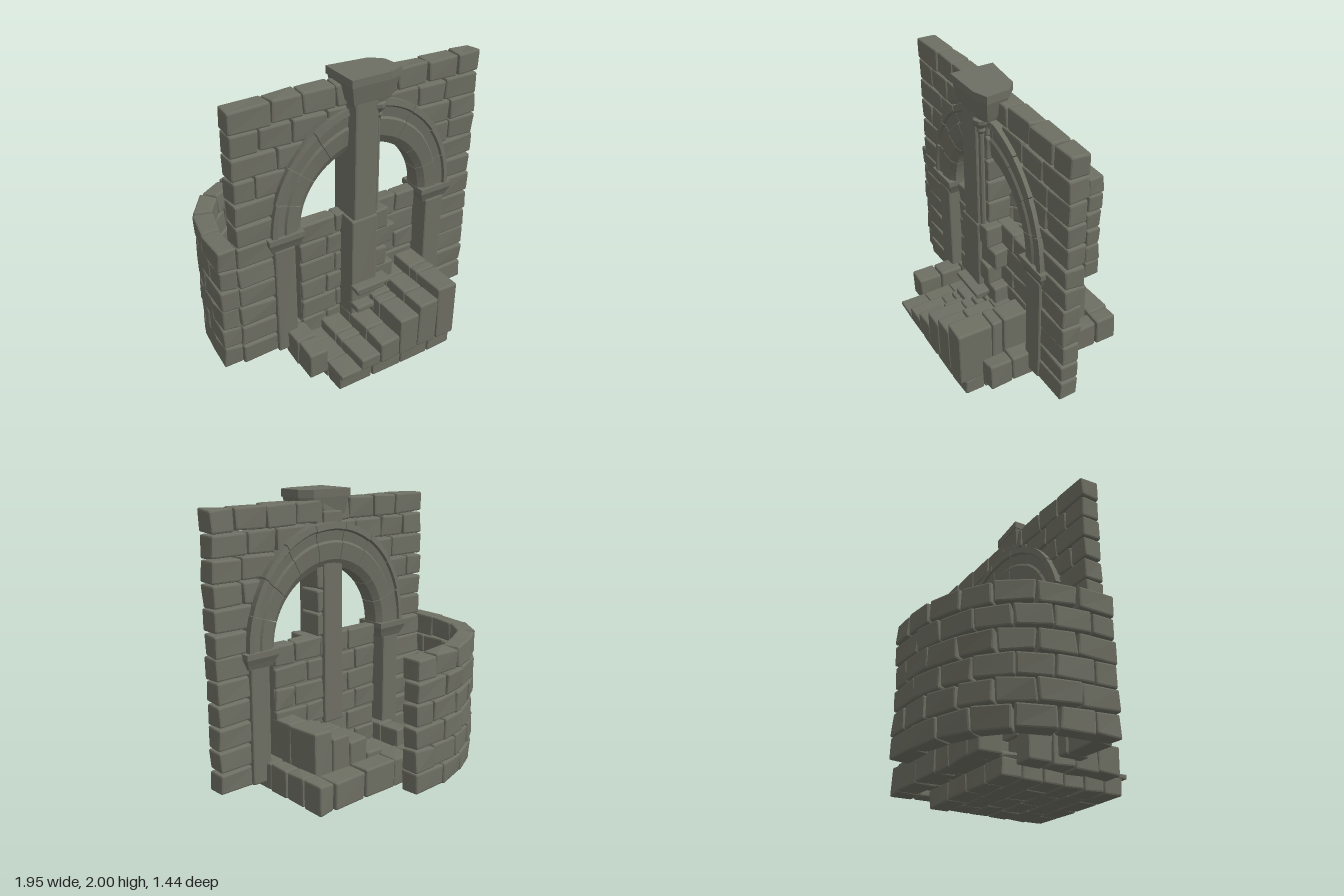
import * as THREE from 'three';
import { RoundedBoxGeometry } from 'three/addons/geometries/RoundedBoxGeometry.js';

const stone = new THREE.MeshStandardMaterial({ color: 0x6e6f63, flatShading: true, roughness: 0.9 });

let seed = 7;
const rnd = () => {
  seed = (seed * 16807) % 2147483647;
  return seed / 2147483647 - 0.5;
};

function add(parent, name, geo) {
  geo.computeVertexNormals();
  const mesh = new THREE.Mesh(geo, stone);
  mesh.name = name;
  parent.add(mesh);
  return mesh;
}

function group(parent, name) {
  const g = new THREE.Group();
  g.name = name;
  parent.add(g);
  return g;
}

// Move every vertex by a rule
function warp(geo, rule) {
  const p = geo.attributes.position, v = new THREE.Vector3();
  for (let i = 0; i < p.count; i++) {
    rule(v.fromBufferAttribute(p, i));
    p.setXYZ(i, v.x, v.y, v.z);
  }
  return geo;
}

// Worn stone block: softened edges, eight slightly shifted corners
function blockGeo(w, h, d, wear = 0.012) {
  const r = Math.min(0.012, w / 4, h / 4, d / 4);
  const shift = Array.from({ length: 8 }, () => [rnd() * wear, rnd() * wear, rnd() * wear]);
  return warp(new RoundedBoxGeometry(w, h, d, 1, r), (v) => {
    const s = shift[(v.x > 0 ? 1 : 0) + (v.y > 0 ? 2 : 0) + (v.z > 0 ? 4 : 0)];
    v.set(v.x + s[0], v.y + s[1], v.z + s[2]);
  });
}

// Block given by its limits
function block(parent, name, x0, x1, y0, y1, z0, z1, wear) {
  const mesh = add(parent, name, blockGeo(x1 - x0, y1 - y0, z1 - z0, wear));
  mesh.position.set((x0 + x1) / 2, (y0 + y1) / 2, (z0 + z1) / 2);
  return mesh;
}

// One course of bricks between two x limits
function course(parent, x0, x1, y, z0, z1, odd, size = 0.24) {
  const n = Math.max(1, Math.round((x1 - x0) / size));
  const cuts = [x0];
  for (let i = 1; i < n; i++) cuts.push(x0 + ((x1 - x0) * (i + (odd ? 0.2 : -0.2) + rnd() * 0.15)) / n);
  cuts.push(x1);
  for (let i = 0; i < n; i++) block(parent, 'brick', cuts[i] + 0.004, cuts[i + 1] - 0.004, y, y + ROW - 0.01, z0, z1);
}

const ROW = 0.151, BASE = 0.13, CX = 0.058, SPRING = 1.03, ZW = 0.175;

export function createModel() {
  const model = new THREE.Group();
  model.name = 'fountainWall';

  // Main wall, its courses stopping inside the arch ring
  const wall = group(model, 'mainWall');
  for (let k = 0; k < 12; k++) {
    const y = BASE + k * ROW, dy = Math.max(0, y - SPRING);
    const half = k < 6 ? 0.645 : Math.sqrt(Math.max(0, 0.6 ** 2 - dy ** 2));
    if (half > 0.05) {
      course(wall, -0.86, CX - half, y, 0.11, 0.24, k % 2);
      course(wall, CX + half, 0.965, y, 0.11, 0.24, k % 2);
    } else course(wall, -0.86, 0.965, y, 0.11, 0.24, k % 2);
  }

  // Low infill wall under the arch
  const infill = group(model, 'infillWall');
  block(infill, 'core', -0.4, 0.51, 0.13, 1.02, 0.135, 0.2, 0);
  for (let k = 0; k < 6; k++) course(infill, -0.4, 0.51, BASE + k * ROW, 0.12, 0.215, k % 2, 0.21);

  // Moulded arch stones: [share of ring width, half depth]
  const arch = group(model, 'arch');
  const profile = [[0, 0.055], [0.18, 0.085], [0.55, 0.095], [0.6, 0.083], [0.82, 0.09], [0.86, 0.105], [1, 0.1]];
  const outline = [
    ...profile.map(([t, z]) => new THREE.Vector2(t, -z)),
    ...profile.slice().reverse().map(([t, z]) => new THREE.Vector2(t, z)),
  ];
  const STONES = 9;
  for (let i = 0; i < STONES; i++) {
    const geo = new THREE.ExtrudeGeometry(new THREE.Shape(outline), { depth: 1, steps: 4, bevelEnabled: false });
    const a1 = ((i + 1) / STONES) * Math.PI - 0.004, a0 = (i / STONES) * Math.PI + 0.004;
    const bump = rnd() * 0.014;
    warp(geo, (v) => {
      const a = a1 + (a0 - a1) * v.z;
      const outer = 0.685 + 0.075 * Math.sin(a) ** 2 + bump;
      const r = 0.46 + (outer - 0.46) * v.x;
      v.set(CX + r * Math.cos(a), SPRING + r * Math.sin(a), ZW - 0.005 + v.y);
    });
    add(arch, 'archStone', geo);
  }

  // Pilasters with flared capitals
  for (const side of [-1, 1]) {
    const pilaster = group(model, side < 0 ? 'rightPilaster' : 'leftPilaster');
    const x = CX + side * 0.59;
    block(pilaster, 'shaft', x - 0.075, x + 0.075, 0.13, 0.93, 0.09, 0.26, 0.008);
    const cap = warp(new THREE.BoxGeometry(0.25, 0.11, 0.22, 1, 3, 1), (v) => {
      const s = v.y < -0.05 ? 0.74 : v.y < 0 ? 0.86 : 1;
      v.x *= s;
      v.z *= s;
    });
    add(pilaster, 'capital', cap).position.set(x - side * 0.005, 0.975, 0.17);
  }

  // Curved wall behind, each brick bent along the plan curve
  const curved = group(model, 'curvedWall');
  const plan = new THREE.CatmullRomCurve3(
    [[-0.915, 0.22], [-0.88, -0.17], [-0.765, -0.4], [-0.62, -0.515], [-0.375, -0.62], [-0.17, -0.65], [0.06, -0.65]]
      .map(([x, z]) => new THREE.Vector3(x, 0, z)));
  const length = plan.getLength();
  for (let k = 0; k < 6; k++) {
    const cuts = [0];
    for (let i = 1; i < 7; i++) cuts.push((i + (k % 2 ? 0.22 : -0.22) + rnd() * 0.12) / 7);
    cuts.push(1);
    for (let i = 0; i < 7; i++) {
      const mid = (cuts[i] + cuts[i + 1]) / 2, w = (cuts[i + 1] - cuts[i]) * length - 0.008;
      const geo = warp(blockGeo(w, ROW - 0.01, 0.125, 0.014), (v) => {
        const u = THREE.MathUtils.clamp(mid + v.x / length, 0, 1);
        const p = plan.getPointAt(u), t = plan.getTangentAt(u);
        v.set(p.x - t.z * v.z, BASE + k * ROW + 0.07 + v.y, p.z + t.x * v.z);
      });
      add(curved, 'curvedBrick', geo);
    }
  }

  // Paved base
  const base = group(model, 'base');
  for (let i = 0; i < 4; i++) {
    for (let j = 0; j < 6; j++) {
      const s = j % 2 ? 0.07 : 0, w = 0.91 / 4;
      const x0 = i === 0 ? -0.4 : -0.4 + i * w + s - 0.035;
      const x1 = i === 3 ? 0.51 : -0.4 + (i + 1) * w + s - 0.035;
      block(base, 'paver', x0 + 0.003, x1 - 0.003, 0.004, 0.125, -0.22 + j * 0.15 + 0.003, -0.07 + j * 0.15 - 0.003, 0.008);
    }
  }

  // Kerb stones along the sides and the back
  const kerb = group(model, 'kerb');
  for (let j = 0; j < 6; j++) {
    const z = -0.45 + j * 0.167;
    block(kerb, 'kerbStone', 0.51, 0.62, 0.08, 0.27, z + 0.003, z + 0.164);
    if (j !== 1) block(kerb, 'kerbStone', -0.535, -0.4, 0.08, 0.27, z + 0.003, z + 0.164);
  }
  const backCuts = [-0.4, -0.185, -0.02, 0.245, 0.51];
  for (let i = 0; i < 4; i++) block(kerb, 'backKerbStone', backCuts[i] + 0.004, backCuts[i + 1] - 0.004, 0.08, 0.27, -0.455, -0.3);

  // Steps rising sideways, each a row of staggered blocks
  const steps = group(model, 'steps');
  [0.15, 0.21, 0.28, 0.4, 0.46, 0.53].forEach((top, i) => {
    const x = -0.4 + i * 0.152;
    const s = i % 2 ? 0.06 : 0;
    const cuts = [-0.27, -0.08 + s, 0.12 + s, 0.33 + s, 0.53 - s, 0.715];
    for (let j = 0; j < 5; j++) block(steps, 'stepBlock', x, x + 0.15, 0.12, top, cuts[j] + 0.002, cuts[j + 1] - 0.002, 0.008);
  });

  // Central pier with its plinth panel, side stones and corner shaft
  const pier = group(model, 'pier');
  block(pier, 'pierShaft', -0.07, 0.1, 0.4, 1.86, 0.1, 0.335, 0.006);
  block(pier, 'plinthPanel', -0.09, 0.11, 0.2, 1.02, 0.18, 0.345, 0.008);
  for (let k = 0; k < 6; k++) {
    const y = 0.13 + k * ROW;
    block(pier, 'plinthStone', 0.1, k % 2 ? 0.2 : 0.27, y, y + ROW - 0.006, 0.18, k % 2 ? 0.325 : 0.31);
  }
  for (let k = 0; k < 5; k++) block(pier, 'sideStone', 0.09, 0.15, 1.03 + k * 0.16, 1.185 + k * 0.16, 0.11, 0.28);
  add(pier, 'cornerShaft', new THREE.CylinderGeometry(0.018, 0.02, 0.68, 8)).position.set(0.115, 1.36, 0.3);
  const finial = [[0.018, 0], [0.03, 0.02], [0.025, 0.04], [0.05, 0.075], [0.05, 0.1], [0, 0.11]];
  add(pier, 'cornerCapital', new THREE.LatheGeometry(finial.map(([r, y]) => new THREE.Vector2(r, y)), 8))
    .position.set(0.115, 1.69, 0.3);

  // Moulded spout shelf on the pier
  const shelf = group(model, 'spoutShelf');
  block(shelf, 'shelfLip', -0.09, 0.19, 0.49, 0.52, 0.3, 0.41, 0);
  block(shelf, 'shelfNeck', -0.06, 0.16, 0.44, 0.49, 0.3, 0.385, 0);
  block(shelf, 'shelfFoot', -0.09, 0.05, 0.335, 0.38, 0.3, 0.42, 0);

  // Faceted top of the pier, tapering downward
  const cap = group(model, 'pierCap');
  const capPlan = [[-0.12, 0.08], [0.17, 0.11], [0.245, 0.18], [0.26, 0.335], [0.16, 0.37], [-0.12, 0.37]];
  const tier = (name, y0, y1, s0, s1) => {
    const shape = new THREE.Shape(capPlan.map(([x, z]) => new THREE.Vector2(x, -z)));
    const geo = new THREE.ExtrudeGeometry(shape, { depth: 1, bevelEnabled: false });
    add(cap, name, warp(geo, (v) => {
      const s = s0 + (s1 - s0) * v.z;
      v.set(0.06 + (v.x - 0.06) * s, y0 + (y1 - y0) * v.z, 0.225 + (-v.y - 0.225) * s);
    }));
  };
  tier('capNeck', 1.8, 1.85, 0.72, 0.8);
  tier('capBell', 1.83, 1.96, 0.82, 0.97);
  tier('capSlab', 1.95, 2.0, 1, 1);
  return model;
}
